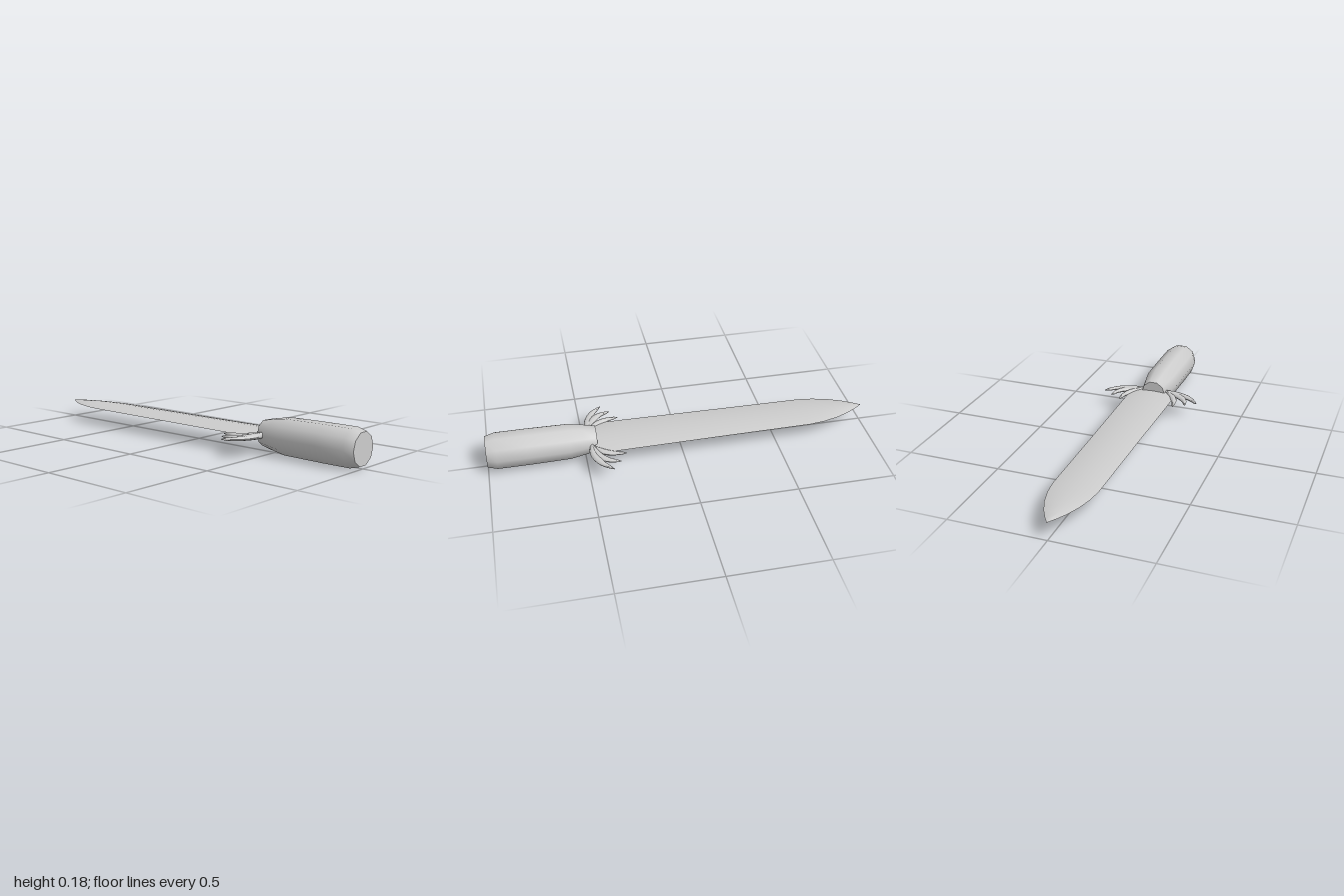
import * as THREE from 'three';
import { toCreasedNormals } from 'three/addons/utils/BufferGeometryUtils.js';

const CENTER_Y = 0.094;
const UP = new THREE.Vector3(0, 1, 0);

// Closed skin through sections { p, tangent, w, t } with half width w and half thickness t.
// A lens section has sharp side edges; otherwise the section is an ellipse.
function sweep(sections, sides, lens = false) {
  const pos = [], index = [];
  sections.forEach(({ p, tangent, w, t }) => {
    const side = new THREE.Vector3().crossVectors(UP, tangent).normalize();
    for (let j = 0; j < sides; j++) {
      const a = (j / sides) * Math.PI * 2;
      const s = Math.sin(a);
      const v = p.clone()
        .addScaledVector(side, w * Math.cos(a))
        .addScaledVector(UP, t * (lens ? s * Math.abs(s) : s));
      pos.push(v.x, v.y, v.z);
    }
  });
  for (let i = 0; i < sections.length - 1; i++) {
    for (let j = 0; j < sides; j++) {
      const k = (j + 1) % sides;
      const a = i * sides + j, b = i * sides + k;
      index.push(a, b, b + sides, a, b + sides, a + sides);
    }
  }
  // end caps
  const last = (sections.length - 1) * sides;
  for (let j = 1; j < sides - 1; j++) {
    index.push(0, j + 1, j, last, last + j, last + j + 1);
  }
  const g = new THREE.BufferGeometry();
  g.setAttribute('position', new THREE.Float32BufferAttribute(pos, 3));
  g.setIndex(index);
  return toCreasedNormals(g, 0.75);
}

// Sections along the long axis from rows of [z, half width, half thickness]
function alongAxis(rows) {
  return rows.map(([z, w, t]) => ({
    p: new THREE.Vector3(0, CENTER_Y, z),
    tangent: new THREE.Vector3(0, 0, -1), w, t,
  }));
}

export function createModel() {
  const group = new THREE.Group();
  const gray = new THREE.MeshStandardMaterial({ color: 0xcccccc });
  gray.name = 'light gray';

  const add = (name, geometry, parent = group) => {
    const mesh = new THREE.Mesh(geometry, gray);
    mesh.name = name;
    parent.add(mesh);
  };

  // Ten-sided grip with bevelled end and tapered neck
  const grip = [[1, 0.083], [0.95, 0.097], [0.8, 0.097], [0.58, 0.094], [0.51, 0.082], [0.44, 0.067]];
  add('handle', sweep(alongAxis(grip.map(([z, r]) => [z, r, r])), 10));

  // Thin lens-section blade with a pointed tip
  add('blade', sweep(alongAxis([
    [0.48, 0.07, 0.012], [0.43, 0.128, 0.013], [0.3, 0.128, 0.013], [-0.2, 0.121, 0.013],
    [-0.68, 0.116, 0.013], [-0.76, 0.106, 0.013], [-0.84, 0.085, 0.012],
    [-0.91, 0.056, 0.009], [-0.96, 0.028, 0.005], [-1, 0.0008, 0.0008],
  ]), 16, true));

  // Guard: three curved feathers on each side, as [x, z] centre lines
  const feathers = [
    { path: [[0.055, 0.468], [0.13, 0.468], [0.21, 0.438], [0.269, 0.384]], w: 0.02 },
    { path: [[0.075, 0.465], [0.145, 0.445], [0.19, 0.405], [0.215, 0.342]], w: 0.019 },
    { path: [[0.08, 0.46], [0.12, 0.42], [0.144, 0.37], [0.155, 0.305]], w: 0.017 },
  ];
  for (const [sideName, sx] of [['left', 1], ['right', -1]]) {
    const guard = new THREE.Group();
    guard.name = sideName + 'Guard';
    group.add(guard);
    feathers.forEach(({ path, w }) => {
      const curve = new THREE.CatmullRomCurve3(
        path.map(([x, z]) => new THREE.Vector3(sx * x, CENTER_Y, z)));
      const steps = 10;
      const sections = [];
      for (let i = 0; i <= steps; i++) {
        const u = i / steps;
        const swell = Math.sin(Math.PI * (0.15 + 0.82 * u));
        sections.push({
          p: curve.getPoint(u), tangent: curve.getTangent(u),
          w: w * swell, t: i === steps ? 0.002 : 0.016 - 0.009 * u,
        });
      }
      add('feather', sweep(sections, 10), guard);
    });
  }
  return group;
}
